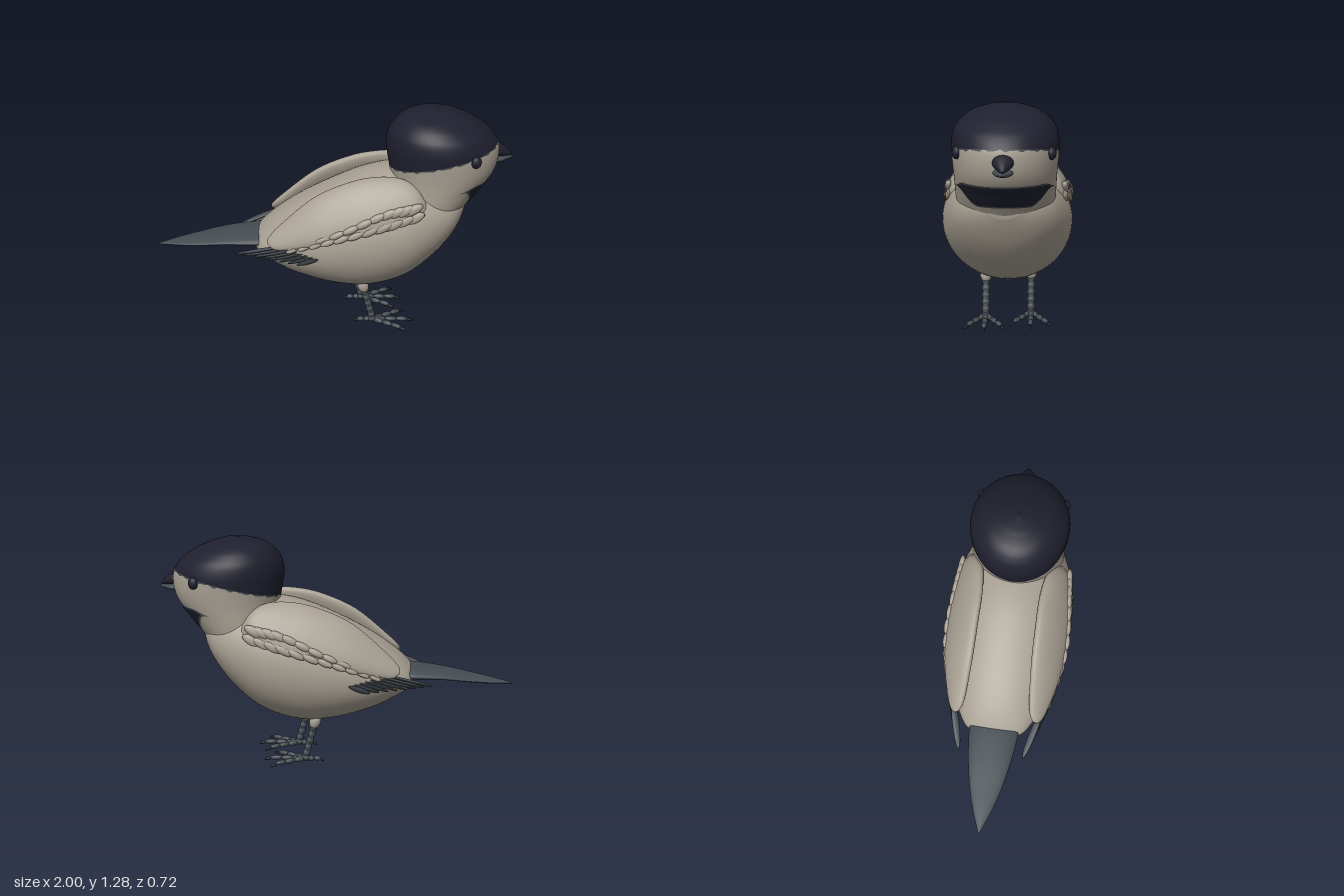
import * as THREE from 'three';

const material = (name, color) => Object.assign(new THREE.MeshStandardMaterial({ color }), { name });
const V = (x, y, z) => new THREE.Vector3(x, y, z);

// Smooth value of one column of a row table between rows k and k+1
function blend(rows, k, f, c) {
  const at = i => rows[Math.min(rows.length - 1, Math.max(0, i))][c];
  const a = at(k - 1), b = at(k), d = at(k + 1), e = at(k + 2);
  return b + 0.5 * f * (d - a + f * (2 * a - 5 * b + 4 * d - e + f * (3 * (b - d) + e - a)));
}

// Surface grid from point(u, v); wrap joins the last column to the first
function grid(nu, nv, point, wrap = true, flip = false) {
  const pos = [], idx = [], cols = wrap ? nu : nu + 1;
  for (let j = 0; j <= nv; j++)
    for (let i = 0; i < cols; i++) pos.push(...point(i / nu, j / nv).toArray());
  for (let j = 0; j < nv; j++)
    for (let i = 0; i < nu; i++) {
      const a = j * cols + i, b = j * cols + (i + 1) % cols, c = a + cols, d = b + cols;
      if (flip) idx.push(a, c, b, b, c, d);
      else idx.push(a, b, c, b, d, c);
    }
  const g = new THREE.BufferGeometry();
  g.setAttribute('position', new THREE.Float32BufferAttribute(pos, 3));
  g.setIndex(idx);
  g.computeVertexNormals();
  return g;
}

// Closed loft along x through rows; section(values, angle, size) gives a point
function loft(rows, section, nu = 40, per = 5, flip = false) {
  const n = (rows.length - 1) * per;
  return grid(nu, n + 2, (u, v) => {
    const j = Math.round(v * (n + 2));
    const t = Math.min(n, Math.max(0, j - 1)) / per;
    const k = Math.min(rows.length - 2, Math.floor(t));
    const values = rows[0].map((_, c) => blend(rows, k, t - k, c));
    return section(values, u * Math.PI * 2, j === 0 || j === n + 2 ? 0 : 1);
  }, true, flip);
}

// Rows of [x, bottom, top, half width]
const oval = ([x, lo, hi, w], a, s) =>
  V(x, (lo + hi) / 2 + s * Math.cos(a) * (hi - lo) / 2, s * Math.sin(a) * w);

// Rows of [x, lower y, lower z, upper y, upper z, thickness]
const wingSection = side => ([x, yb, zb, yt, zt, th], a, s) => {
  const dy = (yt - yb) / 2, dz = (zt - zb) / 2, len = Math.hypot(dy, dz) || 1;
  const c = s * Math.cos(a), n = s * Math.sin(a) * th / len;
  return V(x, (yt + yb) / 2 + dy * c - dz * n, side * ((zt + zb) / 2 + dz * c + dy * n));
};

// Head rings: [y, back x, front x, half width]
const HEAD = [
  [0.68, 0.36, 0.715, 0.24], [0.78, 0.34, 0.775, 0.257], [0.86, 0.33, 0.835, 0.262],
  [0.92, 0.32, 0.885, 0.265], [0.98, 0.31, 0.912, 0.27], [1.05, 0.298, 0.92, 0.275],
  [1.11, 0.295, 0.908, 0.274], [1.17, 0.312, 0.86, 0.258], [1.22, 0.35, 0.785, 0.215],
  [1.25, 0.395, 0.715, 0.165], [1.275, 0.475, 0.635, 0.08], [1.285, 0.555, 0.555, 0]];

function headPoint(t, y, off = 0) {
  let k = 0;
  while (k < HEAD.length - 2 && y > HEAD[k + 1][0]) k++;
  const f = (y - HEAD[k][0]) / (HEAD[k + 1][0] - HEAD[k][0]);
  const [x0, x1, w] = [1, 2, 3].map(c => blend(HEAD, k, f, c));
  return V((x0 + x1) / 2 + ((x1 - x0) / 2 + off) * Math.cos(t), y, -(w + off) * Math.sin(t));
}

// Patch of the head between two heights that vary with the angle
const headPatch = (t0, t1, lo, hi, nv, off = 0, wrap = false) => grid(120, nv, (u, v) => {
  const t = t0 + (t1 - t0) * u;
  return headPoint(t, lo(t) + (hi(t) - lo(t)) * Math.sin(v * Math.PI / 2), off);
}, wrap);

const capEdge = t => 1.05 + 0.0725 * Math.cos(t) - 0.0125 * Math.cos(t) ** 2;
const fringe = t => capEdge(t) - 0.007 - 0.004 * Math.sin(t * 23) - 0.003 * Math.sin(t * 41);

// Throat patch edges, narrowed by an inset
const bibTop = inset => t => 0.915 - inset - 0.03 * THREE.MathUtils.smoothstep(Math.abs(t), 0.85, 1.2);
const bibLow = inset => t =>
  Math.min(0.782 + inset + 0.1 * THREE.MathUtils.smoothstep(Math.abs(t), 0.5, 1.1), bibTop(inset)(t));

export function createModel() {
  const bird = new THREE.Group();
  bird.name = 'bird';
  const beige = material('warm beige plumage', 0xa79f92);
  const navy = material('blue black', 0x1f1f2e);
  const slate = material('slate grey', 0x454c52);

  const add = (name, geometry, mat, parent = bird) => {
    const m = new THREE.Mesh(geometry, mat);
    m.name = name;
    parent.add(m);
    return m;
  };
  const group = name => {
    const g = new THREE.Group();
    g.name = name;
    bird.add(g);
    return g;
  };
  // Ellipsoid stretched between two points
  const ball = new THREE.SphereGeometry(1, 14, 10);
  const bead = (name, p, q, ry, rz, mat, parent) => {
    const m = add(name, ball, mat, parent), d = q.clone().sub(p);
    m.position.copy(p).add(q).multiplyScalar(0.5);
    m.scale.set(d.length() / 2, ry, rz);
    m.quaternion.setFromUnitVectors(V(1, 0, 0), d.normalize());
  };

  // Body
  add('body', loft([
    [-0.44, 0.455, 0.53, 0.08], [-0.41, 0.425, 0.57, 0.16], [-0.33, 0.375, 0.645, 0.215],
    [-0.2, 0.31, 0.735, 0.275], [0, 0.25, 0.84, 0.325], [0.2, 0.235, 0.92, 0.352],
    [0.4, 0.295, 0.955, 0.347], [0.55, 0.41, 0.945, 0.3], [0.65, 0.53, 0.9, 0.245],
    [0.71, 0.635, 0.85, 0.175], [0.745, 0.72, 0.79, 0.07]], oval, 56), beige);

  // Head, dark cap and throat patch
  const turn = Math.PI * 2;
  add('face', headPatch(0, turn, () => 0.68, fringe, 24, 0, true), beige);
  add('capFringe', headPatch(0, turn, fringe, capEdge, 2, 0, true), slate);
  add('cap', headPatch(0, turn, capEdge, () => 1.285, 24, 0, true), navy);
  add('throatPatchEdge', headPatch(-1.2, 1.2, bibLow(0), bibTop(0), 10, 0.004), slate);
  add('throatPatch', headPatch(-1.08, 1.08, bibLow(0.009), bibTop(0.009), 10, 0.007), navy);

  // Beak
  add('upperBeak', loft([
    [0.88, 1.0, 1.092, 0.055], [0.92, 1.005, 1.083, 0.052], [0.96, 1.006, 1.055, 0.032],
    [0.99, 1.008, 1.026, 0.009]], oval, 20), navy);
  add('lowerBeak', loft([
    [0.88, 0.97, 1.02, 0.054], [0.93, 0.974, 1.015, 0.046], [0.97, 0.985, 1.01, 0.022],
    [1.0, 0.995, 1.003, 0.003]], oval, 20), slate);

  // Tail
  add('tail', loft([
    [-1, 0.445, 0.455, 0.004], [-0.88, 0.452, 0.482, 0.052], [-0.75, 0.466, 0.506, 0.09],
    [-0.6, 0.482, 0.533, 0.12], [-0.42, 0.48, 0.556, 0.14], [-0.3, 0.48, 0.555, 0.12]], oval, 32), slate);

  for (const side of [1, -1]) {
    const label = side > 0 ? 'left' : 'right';
    bead(label + 'Eye', V(0.738, 1.065, side * 0.238), V(0.798, 1.065, side * 0.232), 0.034, 0.026, navy);

    // Wing with two rows of covert feathers
    const wing = group(label + 'Wing');
    add('wingShell', loft([
      [-0.36, 0.57, 0.24, 0.595, 0.215, 0.008], [-0.3, 0.55, 0.27, 0.66, 0.19, 0.03],
      [-0.1, 0.6, 0.32, 0.83, 0.172, 0.046], [0.1, 0.66, 0.338, 0.92, 0.167, 0.05],
      [0.25, 0.7, 0.338, 0.95, 0.167, 0.05], [0.38, 0.73, 0.318, 0.945, 0.185, 0.048],
      [0.46, 0.745, 0.295, 0.9, 0.22, 0.04], [0.505, 0.79, 0.27, 0.835, 0.25, 0.012]],
      wingSection(side), 32, 5, side < 0), beige, wing);
    const rows = [
      [V(0.43, 0.815, 0.31), V(0.28, 0.79, 0.326), V(0.05, 0.69, 0.342), V(-0.22, 0.575, 0.28)],
      [V(0.44, 0.765, 0.312), V(0.25, 0.715, 0.34), V(0, 0.64, 0.338), V(-0.22, 0.56, 0.288)]];
    rows.forEach((pts, r) => {
      const path = new THREE.CatmullRomCurve3(pts);
      for (let i = 0; i < 11; i++) {
        const p = path.getPoint(i / 10), k = 1 - i * 0.045;
        const dx = 0.045 * k + 0.012, dy = 0.03 * k;
        bead('covertFeather', V(p.x + dx, p.y + dy, side * (p.z - 0.004)),
          V(p.x - dx, p.y - dy, side * p.z), 0.027 * k, r ? 0.016 : 0.02, beige, wing);
      }
    });

    // Dark flight feathers fanned at the wing tip
    for (let i = 0; i < 8; i++)
      bead('flightFeather', V(-0.08 - 0.029 * i, 0.515 + 0.007 * i, side * (0.312 - 0.008 * i)),
        V(-0.2 - 0.05 * i, 0.472 + 0.001 * i, side * (0.298 - 0.0165 * i)), 0.02, 0.009, slate, wing);

    // Leg with ringed shank, three front toes and one back toe
    const leg = group(label + 'Leg'), z = side * 0.127, x = side > 0 ? 0.178 : 0.12;
    const top = V(x, 0.225, z), ankle = V(x + 0.052, 0.035, z);
    bead('thigh', V(x - 0.02, 0.29, z), V(x + 0.012, 0.2, z), 0.032, 0.034, beige, leg);
    const shank = add('shank', new THREE.CylinderGeometry(0.018, 0.018, top.distanceTo(ankle), 14), slate, leg);
    shank.position.copy(top).add(ankle).multiplyScalar(0.5);
    shank.quaternion.setFromUnitVectors(V(0, 1, 0), top.clone().sub(ankle).normalize());
    for (let i = 0; i < 5; i++)
      bead('shankScale', top.clone().lerp(ankle, i / 5 - 0.02), top.clone().lerp(ankle, i / 5 + 0.22),
        0.021, 0.023, slate, leg);
    bead('ankle', V(ankle.x - 0.028, 0.025, z), V(ankle.x + 0.028, 0.025, z), 0.02, 0.024, slate, leg);
    for (const [angle, length] of [[0, 0.24], [0.52, 0.22], [-0.52, 0.22], [Math.PI, 0.105]]) {
      const at = (f, y) => V(ankle.x + Math.cos(angle) * length * f, y, z + Math.sin(angle) * length * f);
      const joints = length > 0.2 ? [0.02, 0.3, 0.56, 0.82] : [0.05, 0.45, 0.8];
      for (let i = 0; i < joints.length - 1; i++)
        bead('toeJoint', at(joints[i], 0.021), at(joints[i + 1] + 0.04, 0.018),
          0.016 - 0.001 * i, 0.017 - 0.001 * i, slate, leg);
      bead('claw', at(joints[joints.length - 1] - 0.03, 0.018), at(1, 0.006), 0.008, 0.008, navy, leg);
    }
  }
  return bird;
}
